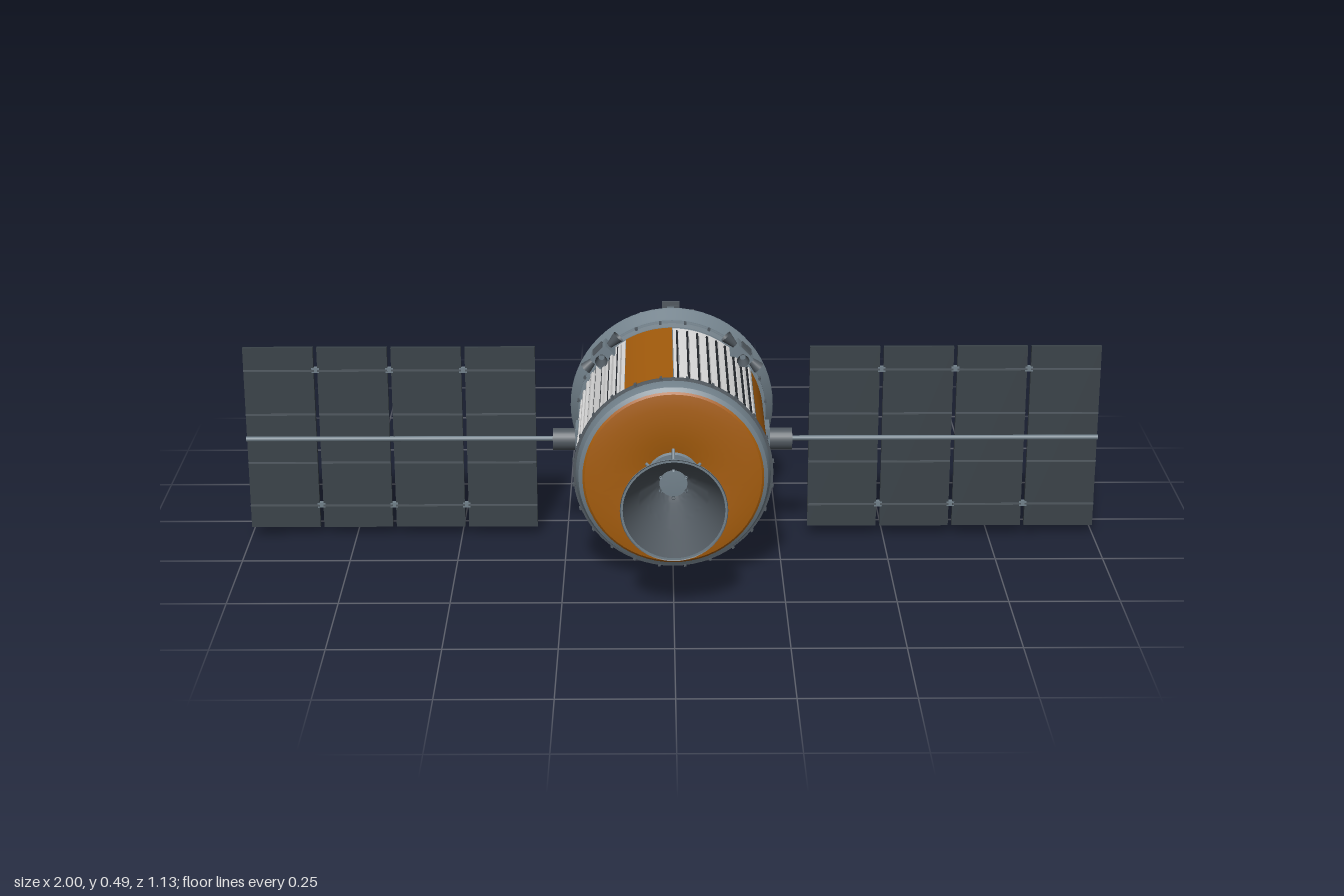
import * as THREE from 'three';
import { toCreasedNormals } from 'three/addons/utils/BufferGeometryUtils.js';

const mat = (name, color, side = THREE.FrontSide) => {
  const m = new THREE.MeshStandardMaterial({ color, side });
  m.name = name;
  return m;
};
const deg = Math.PI / 180;

export function createModel() {
  const M = {
    grey: mat('blueGrey', 0x71808a, THREE.DoubleSide),
    steel: mat('darkSteel', 0x50585f, THREE.DoubleSide),
    white: mat('whitePanel', 0xdcdcdc, THREE.DoubleSide),
    orange: mat('orangeFoil', 0xa45c0c, THREE.DoubleSide),
    panel: mat('arrayBacking', 0x3a4248),
    navy: mat('solarCell', 0x0b0820),
    dark: mat('darkGlass', 0x24282d),
  };
  const root = new THREE.Group();
  root.name = 'spacecraft';
  const craft = new THREE.Group();
  craft.name = 'hull';
  craft.position.y = 0.25;
  root.add(craft);

  const add = (parent, name, geo, material, x = 0, y = 0, z = 0) => {
    const m = new THREE.Mesh(geo, material);
    m.name = name;
    m.position.set(x, y, z);
    parent.add(m);
    return m;
  };
  // Surface of revolution about z; profile is [radius, z], angles run from +x towards +y
  const turned = (name, pts, material, from = 0, sweep = 360, segs = 64) => {
    const g = new THREE.LatheGeometry(pts.map(([r, z]) => new THREE.Vector2(r, z)), segs,
      (from + 90) * deg, sweep * deg).rotateX(Math.PI / 2);
    return add(craft, name, toCreasedNormals(g, 0.4), material);
  };
  // Group whose local x points outward at an angle around the hull
  const spoke = (name, angle, r, z, tilt = 0) => {
    const arm = new THREE.Group(), tip = new THREE.Group();
    arm.name = name;
    arm.rotation.z = angle * deg;
    tip.position.set(r, 0, z);
    tip.rotation.y = tilt;
    arm.add(tip);
    craft.add(arm);
    return tip;
  };
  const box = (w, h, d) => new THREE.BoxGeometry(w, h, d);

  // Service module: core, end rings and foil front
  turned('serviceCore', [[0.212, -0.1], [0.212, 0.335]], M.grey);
  turned('frontShoulder', [[0.212, 0.315], [0.221, 0.318], [0.221, 0.338], [0.214, 0.358], [0.205, 0.364]], M.grey);
  turned('frontBand', [[0.22, 0.325], [0.227, 0.326], [0.227, 0.332], [0.22, 0.333]], M.steel);
  turned('foilFront', [[0.208, 0.361], [0.2, 0.368], [0.17, 0.373], [0.1, 0.372], [0.06, 0.364]], M.orange);
  turned('engineMount', [[0.062, 0.364], [0.058, 0.37], [0.001, 0.37]], M.grey);
  turned('rearBand', [[0.212, -0.072], [0.217, -0.074], [0.217, -0.082], [0.226, -0.084], [0.226, -0.09],
    [0.22, -0.092], [0.22, -0.1], [0.226, -0.101], [0.226, -0.107]].reverse(), M.grey);

  // Alternating foil and ribbed radiator panels
  for (let q = 0; q < 4; q++) {
    const a = q * 90;
    turned('foilPanel', [[0.219, -0.07], [0.219, 0.315]], M.orange, a, 30, 8);
    turned('radiatorPanel', [[0.217, -0.07], [0.217, 0.315]], M.white, a + 30.5, 59, 14);
    for (let i = 0; i < 9; i++) {
      const t = spoke('radiatorRib', a + 34 + i * 6.4, 0.218, 0.13);
      add(t, 'rib', box(0.01, 0.007, 0.355), M.white);
      add(t, 'ribShadowGap', box(0.005, 0.004, 0.355), M.dark, 0, 0.007, 0);
    }
  }
  // Small fasteners around the bands
  for (let i = 0; i < 24; i++) {
    for (const z of [0.329, -0.087]) add(spoke('fastener', i * 15 + 7, 0.227, z), 'stud', box(0.006, 0.006, 0.012), M.steel);
  }

  // Crew module cone and its lip
  const rim = 0.244, top = 0.108, z0 = -0.145, z1 = -0.46;
  const slope = (rim - top) / (z0 - z1), tilt = Math.atan(slope);
  const coneR = z => rim + (z - z0) * slope;
  turned('skirt', [[rim, -0.148], [0.246, -0.143], [0.243, -0.137], [0.228, -0.117], [0.222, -0.105]], M.grey);
  turned('cone', [[top, z1], [rim, z0]], M.grey);
  for (const a of [-14, 162]) {
    turned('whiteGore', [[top + 0.003, z1 + 0.005], [rim - 0.002, z0 - 0.01]], M.white, a, 32, 8);
  }
  const coneLen = Math.hypot(rim - top, z0 - z1);
  for (let i = 0; i < 12; i++) {
    const zm = (z0 + z1) / 2;
    const t = spoke('coneSeam', 18 + i * 30 - (i % 6 === 5 ? 2 : 0), coneR(zm), zm, tilt);
    add(t, 'seam', box(0.006, 0.005, coneLen * 0.97), M.steel);
    for (const s of [-0.11, 0, 0.11]) add(t, 'seamStud', box(0.008, 0.006, 0.006), M.dark, 0.002, 0.012, s);
  }
  // Windows
  for (const [a, z, w, d] of [[11, -0.252, 0.052, 0.072], [169, -0.252, 0.052, 0.072],
    [57, -0.352, 0.045, 0.065], [123, -0.352, 0.045, 0.065]]) {
    const t = spoke('window', a, coneR(z), z, tilt);
    add(t, 'windowFrame', box(0.01, w + 0.008, d + 0.008), M.grey);
    add(t, 'windowPane', box(0.009, w, d), M.dark, 0.003);
  }
  // Lower hatch and equipment boxes
  const hatch = spoke('hatch', -90, coneR(-0.28), -0.28, tilt);
  add(hatch, 'hatchFrame', box(0.014, 0.09, 0.1), M.steel);
  add(hatch, 'hatchDoor', box(0.009, 0.075, 0.085), M.grey, 0.005);
  for (const side of [0, 1]) {
    for (const [a, z] of [[-62, -0.24], [-58, -0.32]]) {
      add(spoke('equipmentBox', side ? 180 - a : a, coneR(z), z, tilt), 'box', box(0.022, 0.025, 0.045), M.white);
    }
  }

  // Docking collar, open tunnel and latches
  turned('collar', [[0.1, -0.5], [0.108, -0.497], [top, z1]], M.grey);
  turned('dockingNeck', [[0.1, -0.54], [0.1, -0.498]], M.white);
  turned('dockingRing', [[0.078, -0.5], [0.078, -0.553], [0.085, -0.558], [0.104, -0.558], [0.109, -0.552],
    [0.109, -0.543], [0.1, -0.538]], M.grey);
  turned('tunnelFloor', [[0.001, -0.502], [0.08, -0.502]], M.white);
  for (let i = 0; i < 12; i++) {
    add(spoke('latch', i * 30 + 15, 0.108, -0.55), 'latchBlock', box(0.014, 0.016, 0.018), M.steel);
  }
  for (let i = 0; i < 4; i++) {
    const t = spoke('dockingLug', i * 90, 0.113, -0.553);
    add(t, 'lugArm', box(0.026, 0.018, 0.012), M.grey);
    add(t, 'lugPlate', box(0.005, 0.04, 0.016), M.steel, 0.012, 0, -0.003);
  }
  add(craft, 'dockingTarget', box(0.045, 0.02, 0.006), M.steel, 0, 0.128, -0.552);

  // Thruster clusters
  const jet = new THREE.CylinderGeometry(0.007, 0.015, 0.032, 16, 1, true);
  for (const a of [45, 135, 225, 315]) {
    const t = spoke('thrusterCluster', a, 0.23, -0.04);
    add(t, 'thrusterBox', box(0.036, 0.05, 0.062), M.grey);
    add(t, 'thrusterCap', box(0.009, 0.03, 0.04), M.steel, 0.018);
    for (const s of [-1, 1]) {
      add(t, 'sideJet', jet, M.steel, 0.006, s * 0.04, 0).rotation.z = s > 0 ? Math.PI : 0;
    }
    add(t, 'forwardJet', jet, M.steel, 0.006, 0, 0.052).rotation.x = -Math.PI / 2;
  }

  // Engine bell with stepped rings, liner, throat and mount struts
  const bell = [], liner = [];
  for (let i = 0; i <= 18; i++) {
    const t = i / 18, z = 0.395 + 0.17 * t, r = 0.034 + 0.083 * Math.pow(t, 0.9);
    bell.push([r - 0.002, z], [r + 0.0015, z + 0.002]);
    liner.unshift([r - 0.004, z + 0.001]);
  }
  turned('engineBell', bell, M.steel, 0, 360, 48);
  turned('bellLiner', liner, M.steel, 0, 360, 48);
  turned('bellLip', [[0.112, 0.566], [0.118, 0.566], [0.118, 0.561]].reverse(), M.grey);
  turned('throat', [[0.034, 0.366], [0.026, 0.38], [0.032, 0.398], [0.001, 0.4]], M.grey);
  for (let i = 0; i < 6; i++) {
    const path = new THREE.LineCurve3(new THREE.Vector3(0.07, 0, 0.366), new THREE.Vector3(0.032, 0, 0.405));
    add(craft, 'engineStrut', new THREE.TubeGeometry(path, 1, 0.004, 8), M.grey).rotation.z = (i * 60 + 30) * deg;
  }

  // Solar wings
  for (const side of [-1, 1]) {
    const wing = new THREE.Group();
    wing.name = side > 0 ? 'leftSolarWing' : 'rightSolarWing';
    wing.position.set(0, 0, 0.09);
    craft.add(wing);
    add(wing, 'wingHub', new THREE.CylinderGeometry(0.026, 0.026, 0.066, 24), M.steel, side * 0.247, 0, 0.012).rotation.z = Math.PI / 2;
    add(wing, 'hubFoot', box(0.02, 0.07, 0.07), M.grey, side * 0.217, 0, 0.012);
    add(wing, 'wingBoom', new THREE.CylinderGeometry(0.006, 0.006, 0.73, 12), M.grey, side * 0.635, 0, 0.008).rotation.z = Math.PI / 2;
    for (let i = 0; i < 4; i++) {
      const x = side * (0.4015 + i * 0.1718);
      add(wing, 'panelBacking', box(0.163, 0.446, 0.011), M.panel, x, 0, 0);
      add(wing, 'solarCells', box(0.155, 0.436, 0.004), M.navy, x, 0, -0.0055);
      for (const y of [0.168, 0.06, -0.06, -0.168]) add(wing, 'panelRail', box(0.163, 0.004, 0.004), M.steel, x, y, 0.0065);
      if (i < 3) {
        for (const y of [0.168, -0.168]) add(wing, 'panelHinge', box(0.018, 0.012, 0.012), M.grey, x + side * 0.086, y, 0);
      }
    }
  }
  return root;
}
